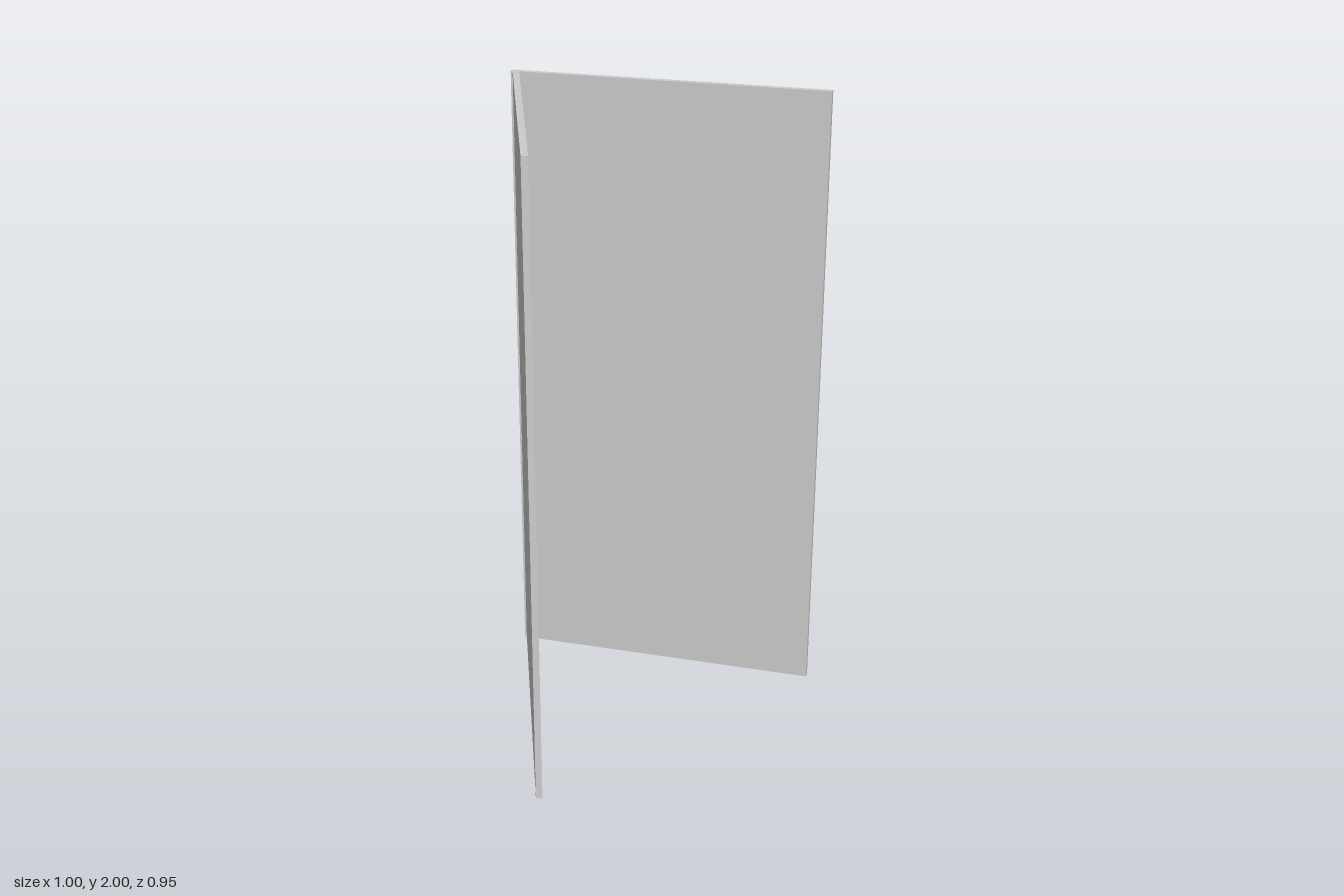
import * as THREE from 'three';

// Two hinged flat panels standing upright, opened to 70 degrees
export function createModel() {
  const group = new THREE.Group();
  const material = new THREE.MeshStandardMaterial({ color: 0xcccccc });
  const panelGeometry = new THREE.BoxGeometry(1, 2, 0.02);

  const addPanel = (name, x, z, degrees) => {
    const panel = new THREE.Mesh(panelGeometry, material);
    panel.name = name;
    panel.position.set(x, 1, z);
    panel.rotation.y = THREE.MathUtils.degToRad(degrees);
    group.add(panel);
  };

  addPanel('backPanel', 0, -0.458, 0);
  addPanel('sidePanel', -0.32, 0, -70); // swings forward from the right edge

  return group;
}
